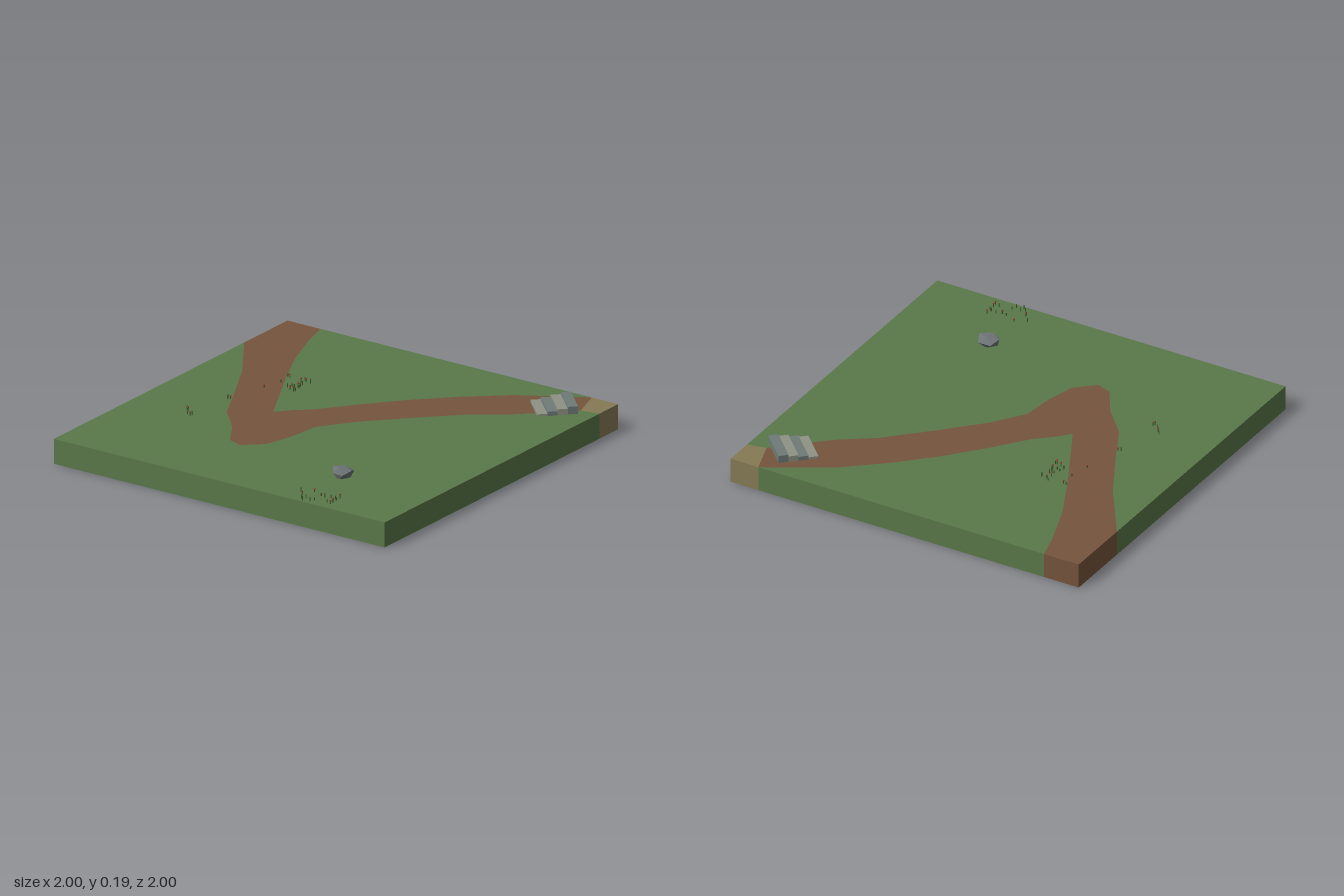
import * as THREE from 'three';

const H = 0.132; // ground level

const mat = (color, opts = {}) => {
  const m = new THREE.MeshStandardMaterial(opts);
  m.color.set(color);
  return m;
};

export function createModel() {
  const root = new THREE.Group();
  const grass = mat(0x5a7849, { side: THREE.DoubleSide });
  const dirt = mat(0x75543d, { side: THREE.DoubleSide });
  const sand = mat(0x857a55, { side: THREE.DoubleSide });

  const add = (parent, name, geometry, material) => {
    const mesh = new THREE.Mesh(geometry, material);
    mesh.name = name;
    parent.add(mesh);
    return mesh;
  };

  // Ground surface: outlines of the bent path, as [x, z], shared by its neighbours
  const outer = [[0.63, -1], [0.3, -0.78], [0, -0.62], [-0.2, -0.52], [-0.35, -0.38], [-0.51, -0.28],
    [-0.54, -0.2], [-0.45, -0.1], [-0.3, -0.06], [-0.12, -0.04], [0.05, 0.08], [0.25, 0.27],
    [0.45, 0.47], [0.58, 0.65], [0.72, 0.8], [0.82, 0.9]];
  const inner = [[1, 0.84], [0.92, 0.7], [0.8, 0.5], [0.63, 0.3], [0.45, 0.12], [0.25, -0.05],
    [0.08, -0.18], [0, -0.27], [-0.07, -0.33], [0.1, -0.42], [0.35, -0.55], [0.6, -0.67],
    [0.85, -0.76], [1, -0.8]];

  const ground = new THREE.Group();
  ground.name = 'ground';
  root.add(ground);
  const patch = (name, points, material) => {
    const shape = new THREE.Shape(points.map(([x, z]) => new THREE.Vector2(x, -z)));
    const geo = new THREE.ShapeGeometry(shape).rotateX(-Math.PI / 2).translate(0, H, 0);
    add(ground, name, geo, material);
  };
  patch('outerGrass', [...outer, [0.84, 1], [-1, 1], [-1, -1]], grass);
  patch('innerGrass', inner, grass);
  patch('dirtPath', [...outer, ...inner, [1, -1]], dirt);
  patch('sandCorner', [[0.84, 1], [0.82, 0.9], [1, 0.84], [1, 1]], sand);

  // Side skirts, open underneath
  const skirts = [
    [-1, 1, 0.84, 1, grass], [0.84, 1, 1, 1, sand],
    [1, 1, 1, 0.84, sand], [1, 0.84, 1, -0.8, grass], [1, -0.8, 1, -1, dirt],
    [1, -1, 0.63, -1, dirt], [0.63, -1, -1, -1, grass], [-1, -1, -1, 1, grass],
  ];
  for (const [x0, z0, x1, z1, material] of skirts) {
    const geo = new THREE.PlaneGeometry(Math.hypot(x1 - x0, z1 - z0), H);
    const skirt = add(ground, 'skirt', geo, material);
    skirt.position.set((x0 + x1) / 2, H / 2, (z0 + z1) / 2);
    skirt.rotation.y = Math.atan2(z0 - z1, x1 - x0);
  }

  // Stone steps rising towards the front corner
  const steps = new THREE.Group();
  steps.name = 'stoneSteps';
  steps.position.set(0.773, 0, 0.773);
  steps.rotation.y = Math.PI / 4;
  root.add(steps);
  const stones = [mat(0x8f9384), mat(0x6f7b78)];
  for (let i = 0; i < 4; i++) {
    const step = add(steps, 'step', new THREE.BoxGeometry(0.205, 0.04, 0.051), stones[i % 2]);
    step.position.set(0, 0.124 + i * 0.01, (i - 1.5) * 0.051);
  }

  // Faceted boulder
  const rockGeo = new THREE.IcosahedronGeometry(1, 0);
  const p = rockGeo.attributes.position;
  for (let i = 0; i < p.count; i++) {
    const s = 1 + 0.1 * Math.sin(5 * p.getX(i) + 3 * p.getY(i) + 7 * p.getZ(i));
    p.setXYZ(i, p.getX(i) * s, p.getY(i) * s, p.getZ(i) * s);
  }
  rockGeo.computeVertexNormals();
  const rock = add(root, 'rock', rockGeo, mat(0x6c7274, { flatShading: true }));
  rock.scale.set(0.054, 0.036, 0.062);
  rock.position.set(-0.603, 0.156, 0.465);

  // Tufts of thin blades, a few with red buds
  let seed = 7;
  const rnd = () => (seed = (seed * 16807) % 2147483647) / 2147483647;
  const tufts = new THREE.Group();
  tufts.name = 'grassTufts';
  root.add(tufts);
  const bladeMat = mat(0x3f5a2c);
  const budMat = mat(0x9a4630);
  const bladeGeo = new THREE.BoxGeometry(0.004, 1, 0.004);
  const budGeo = new THREE.BoxGeometry(0.007, 0.006, 0.007);
  // [xMin, xMax, zMin, zMax, count]
  const clusters = [[-0.99, -0.84, 0.4, 0.65, 18], [0.2, 0.38, -0.47, -0.4, 16],
    [0.1, 0.4, -0.57, -0.42, 5], [-0.35, -0.28, -0.7, -0.63, 5], [-0.06, -0.04, -0.62, -0.6, 2]];
  for (const [x0, x1, z0, z1, count] of clusters) {
    for (let i = 0; i < count; i++) {
      const h = 0.014 + 0.01 * rnd();
      const x = x0 + (x1 - x0) * rnd();
      const z = z0 + (z1 - z0) * rnd();
      const blade = add(tufts, 'blade', bladeGeo, bladeMat);
      blade.scale.y = h;
      blade.position.set(x, H + h / 2, z);
      if (i % 3 === 0) add(tufts, 'bud', budGeo, budMat).position.set(x, H + h, z);
    }
  }
  return root;
}
